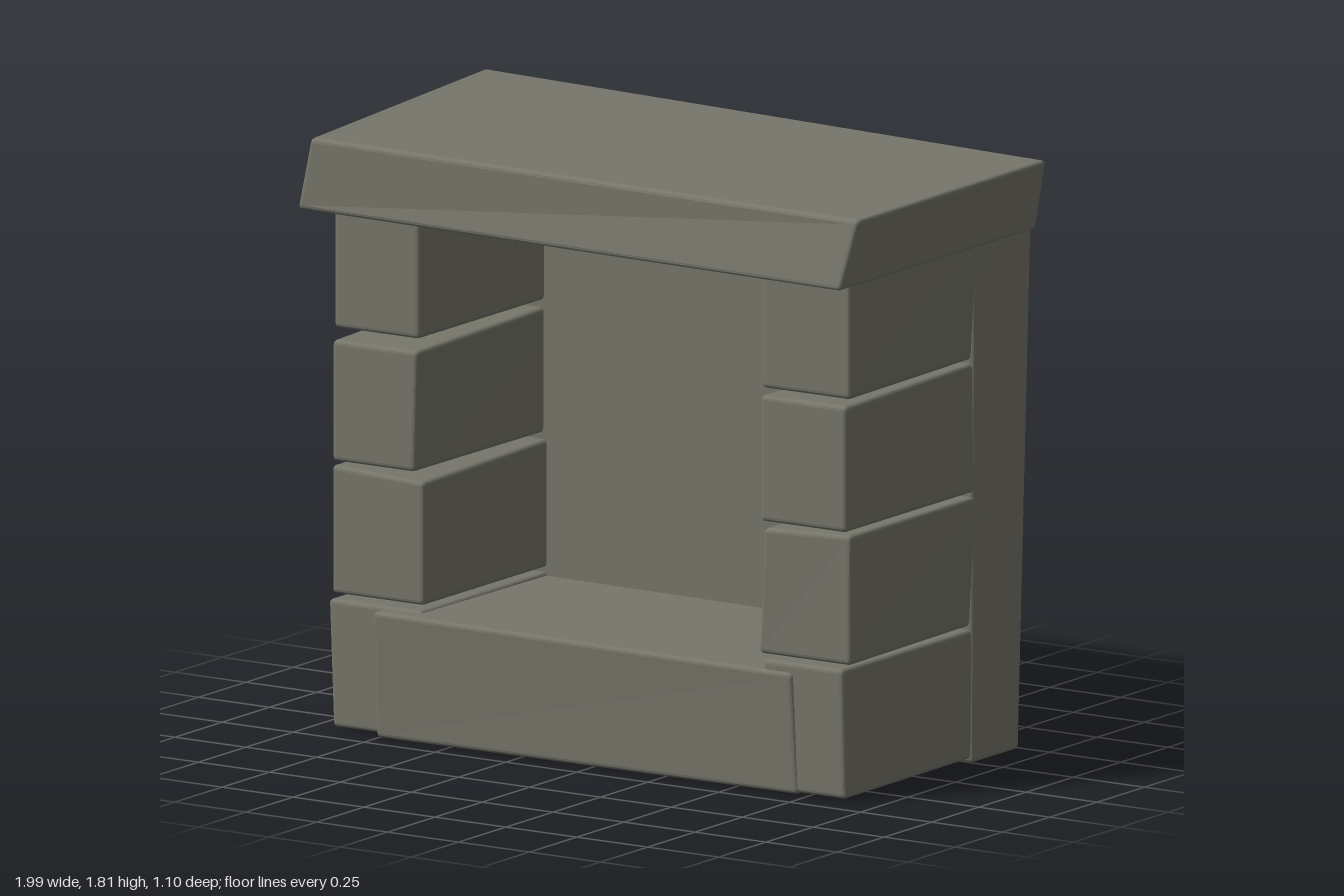
import * as THREE from 'three';
import { RoundedBoxGeometry } from 'three/addons/geometries/RoundedBoxGeometry.js';

const stone = new THREE.MeshStandardMaterial({ color: 0x77766b });
stone.name = 'warm grey stone';

// Softly bevelled block between two corners. Single corners can be nudged:
// l/r = -x/+x, b/t = bottom/top, k/f = back/front, for example { ltf: [dx, dy, dz] }
function block(name, min, max, nudges = {}) {
  const lo = new THREE.Vector3(...min);
  const size = new THREE.Vector3(...max).sub(lo);
  const geometry = new RoundedBoxGeometry(size.x, size.y, size.z, 2, 0.014);
  const pos = geometry.attributes.position;
  const p = new THREE.Vector3();
  const q = new THREE.Vector3();
  for (let i = 0; i < pos.count; i++) {
    p.fromBufferAttribute(pos, i);
    const t = p.clone().divide(size).addScalar(0.5);
    q.copy(t).multiply(size).add(lo);
    for (const [key, d] of Object.entries(nudges)) {
      const w = (key[0] === 'r' ? t.x : 1 - t.x)
        * (key[1] === 't' ? t.y : 1 - t.y)
        * (key[2] === 'f' ? t.z : 1 - t.z);
      q.addScaledVector(new THREE.Vector3(...d), w);
    }
    pos.setXYZ(i, q.x, q.y, q.z);
  }
  geometry.computeVertexNormals();
  const mesh = new THREE.Mesh(geometry, stone);
  mesh.name = name;
  return mesh;
}

export function createModel() {
  const model = new THREE.Group();
  model.name = 'fireplace';

  // Leaning back wall
  model.add(block('backWall', [-0.88, 0, -0.49], [0.9, 1.72, -0.24], {
    ltk: [0.01, 0, -0.025], rtk: [0.01, 0, -0.06], rtf: [0.01, 0, 0],
  }));

  // Hearth slab, its front turned slightly
  model.add(block('hearth', [-0.735, 0.008, -0.3], [0.735, 0.385, 0.46], {
    ltf: [0, 0.005, 0.02], rtf: [-0.02, -0.015, -0.02], rbf: [0, 0, -0.025], rtk: [0, -0.01, 0],
  }));

  // Stacked pillar stones, bottom to top
  const rightStones = [
    [[-0.915, 0.012, -0.38], [-0.6, 0.395, 0.42], { ltf: [-0.015, 0, 0], ltk: [-0.015, 0, 0] }],
    [[-0.925, 0.41, -0.38], [-0.6, 0.795, 0.41], { rtf: [0, -0.015, 0], lbk: [0.03, 0, 0] }],
    [[-0.91, 0.812, -0.38], [-0.61, 1.175, 0.43], { ltk: [0, 0.022, 0], rtk: [0, 0.015, 0], rbf: [-0.01, 0, 0] }],
    [[-0.91, 1.21, -0.38], [-0.61, 1.6, 0.42], { lbk: [0.02, 0, 0] }],
  ];
  const leftStones = [
    [[0.61, 0.012, -0.38], [0.9, 0.4, 0.43], { rtf: [-0.01, 0, 0], rbk: [-0.01, 0, 0], rtk: [-0.005, 0, 0] }],
    [[0.58, 0.41, -0.38], [0.905, 0.8, 0.41], { ltf: [0.025, -0.01, 0.01], ltk: [0.025, -0.01, 0], rbk: [-0.02, 0, 0] }],
    [[0.6, 0.812, -0.37], [0.902, 1.19, 0.43], { lbk: [-0.015, 0, 0], rtk: [-0.005, 0.012, 0] }],
    [[0.595, 1.21, -0.38], [0.91, 1.6, 0.42], { lbk: [-0.008, 0, 0], rbk: [-0.02, 0, 0] }],
  ];
  for (const [side, stones] of [['right', rightStones], ['left', leftStones]]) {
    const pillar = new THREE.Group();
    pillar.name = side + 'Pillar';
    stones.forEach((s, i) => pillar.add(block(side + 'Stone' + (i + 1), ...s)));
    model.add(pillar);
  }

  // Crooked mantel slab
  model.add(block('mantel', [-1, 1.565, -0.49], [0.96, 1.78, 0.48], {
    ltk: [0.003, 0.032, -0.02], rtk: [0.037, -0.002, 0],
    ltf: [0.047, 0.005, 0], rtf: [0.037, -0.005, 0.025], rbf: [0, 0, 0.07],
  }));

  return model;
}
